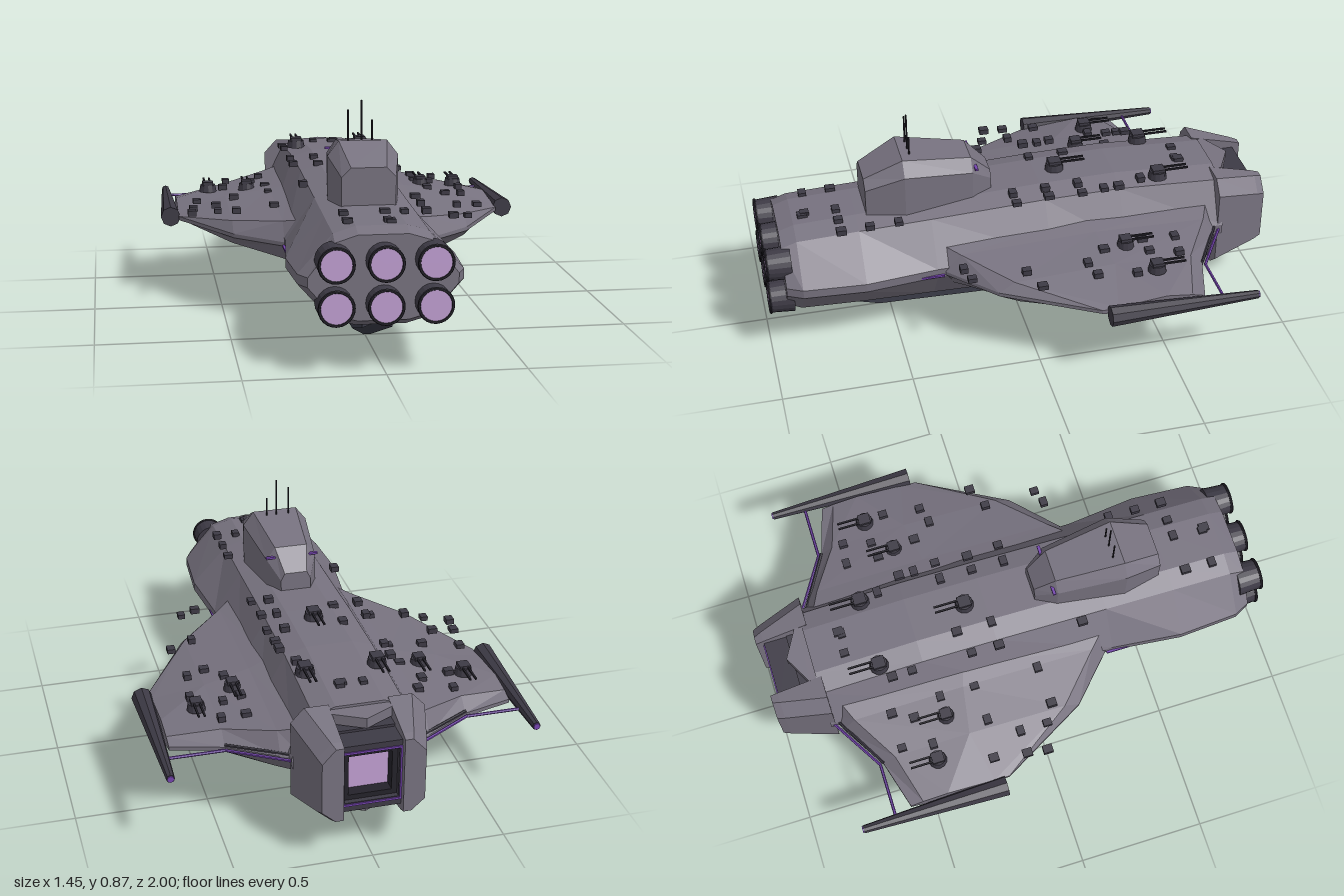
import * as THREE from 'three';

const mat = (name, color) => Object.assign(new THREE.MeshStandardMaterial({ color, flatShading: true }), { name });

// Skin through cross-sections of equal point count, closed with end caps.
function loft(sections) {
  const tris = [], n = sections[0].length;
  for (let i = 0; i < sections.length - 1; i++) {
    for (let j = 0; j < n; j++) {
      const k = (j + 1) % n, a = sections[i], b = sections[i + 1];
      tris.push([a[j], a[k], b[k]], [a[j], b[k], b[j]]);
    }
  }
  const cap = (s, flip) => {
    const c = [0, 1, 2].map(d => s.reduce((t, p) => t + p[d], 0) / n);
    for (let j = 0; j < n; j++) {
      const k = (j + 1) % n;
      tris.push(flip ? [c, s[k], s[j]] : [c, s[j], s[k]]);
    }
  };
  cap(sections[0], true);
  cap(sections.at(-1), false);
  // turn every face outward
  let volume = 0;
  for (const [a, b, c] of tris) {
    volume += a[0] * (b[1] * c[2] - b[2] * c[1]) + a[1] * (b[2] * c[0] - b[0] * c[2]) + a[2] * (b[0] * c[1] - b[1] * c[0]);
  }
  if (volume < 0) tris.forEach(t => t.reverse());
  const g = new THREE.BufferGeometry();
  g.setAttribute('position', new THREE.Float32BufferAttribute(tris.flat(2), 3));
  g.computeVertexNormals();
  return g;
}

// Symmetric ring at depth z from right-hand half points
const ring = (half, z) => [
  ...half.map(([x, y]) => [x, y, z]),
  ...half.slice().reverse().map(([x, y]) => [-x, y, z]),
];

export function createModel() {
  const root = new THREE.Group();
  root.name = 'spaceship';
  const hullGrey = mat('hull grey', 0x77727f);
  const dark = mat('dark metal', 0x3d3a45);
  const keelBlue = mat('keel blue grey', 0x3b3c49);
  const black = mat('black metal', 0x24222a);
  const purple = mat('purple trim', 0x7444ae);
  const glow = mat('pale violet glow', 0xc19fd3);

  const add = (name, geometry, material, x = 0, y = 0, z = 0, parent = root) => {
    const m = new THREE.Mesh(geometry, material);
    m.name = name;
    m.position.set(x, y, z);
    parent.add(m);
    return m;
  };
  const box = (name, w, h, d, material, x, y, z, parent) =>
    add(name, new THREE.BoxGeometry(w, h, d), material, x, y, z, parent);
  const rod = (name, a, b, r, material) => {
    const from = new THREE.Vector3(...a), to = new THREE.Vector3(...b);
    const m = add(name, new THREE.CylinderGeometry(r, r, from.distanceTo(to), 6), material);
    m.position.copy(from).lerp(to, 0.5);
    m.quaternion.setFromUnitVectors(new THREE.Vector3(0, 1, 0), to.sub(from).normalize());
  };

  // Main hull: z, half width, top, bottom
  const hullStations = [
    [0.93, 0.265, 0.485, 0.18], [0.87, 0.295, 0.505, 0.15], [0.63, 0.31, 0.515, 0.14],
    [0.35, 0.28, 0.525, 0.135], [-0.1, 0.28, 0.545, 0.125], [-0.4, 0.27, 0.55, 0.115], [-0.81, 0.25, 0.53, 0.125],
  ];
  add('hull', loft(hullStations.map(([z, w, t, b]) => ring([
    [0.09, t], [0.17, t - 0.025], [w, 0.34], [w, 0.305], [0.18, b + 0.025], [0.09, b],
  ], z))), hullGrey);
  const hullTop = z => {
    const i = Math.max(1, hullStations.findIndex(s => s[0] <= z));
    const [a, b] = [hullStations[i - 1], hullStations[i]];
    return THREE.MathUtils.mapLinear(z, a[0], b[0], a[2], b[2]);
  };

  // Keel
  add('keel', loft([[0.79, 0.115, 0.13], [0.55, 0.045, 0.02], [0, 0.03, 0.005], [-0.4, 0.115, 0.11]].map(
    ([z, side, low]) => ring([[0.055, 0.16], [0.055, side], [0.012, low]], z))), keelBlue);

  // Bow: two cheeks around an open mouth
  for (const s of [1, -1]) {
    const cheek = [[-0.79, 0.25, 0.53, 0.13], [-0.97, 0.2, 0.485, 0.165], [-1, 0.19, 0.475, 0.175]];
    add('bowCheek', loft(cheek.map(([z, w, t, b]) => [
      [0.11, t], [w - 0.05, t], [w, t - 0.055], [w, b + 0.045], [w - 0.05, b], [0.11, b],
    ].map(([x, y]) => [s * x, y, z]))), hullGrey);
  }
  for (const [y, yTip] of [[0.5, 0.5], [0.15, 0.15]]) {
    add('bowWedge', loft([y - 0.02, yTip + 0.02].map(h =>
      [[-0.112, h, -0.78], [0.112, h, -0.78], [0.112, h, -0.84], [0, h, -0.9], [-0.112, h, -0.84]])), hullGrey);
  }
  const frame = (name, outer, inner, z, depth, material) => {
    const square = (P, r) => new P([[-r, -r], [r, -r], [r, r], [-r, r]].map(p => new THREE.Vector2(...p)));
    const shape = square(THREE.Shape, outer);
    shape.holes.push(square(THREE.Path, inner));
    add(name, new THREE.ExtrudeGeometry(shape, { depth, bevelEnabled: false }), material, 0, 0.325, z);
  };
  box('mouthBack', 0.22, 0.29, 0.08, dark, 0, 0.325, -0.84);
  frame('mouthOuterFrame', 0.135, 0.1, -0.97, 0.11, dark);
  frame('mouthPurpleTrim', 0.112, 0.104, -0.975, 0.006, purple);
  frame('mouthInnerFrame', 0.1, 0.08, -0.95, 0.08, black);
  box('mouthGlow', 0.165, 0.165, 0.008, glow, 0, 0.325, -0.9);

  // Command tower: z, lower half width, upper half width, shoulder, top
  add('tower', loft([
    [0.59, 0.1, 0.065, 0.62, 0.655], [0.44, 0.132, 0.09, 0.675, 0.73],
    [0.17, 0.1, 0.065, 0.64, 0.69], [0.09, 0.06, 0.045, 0.58, 0.61],
  ].map(([z, w, tw, sh, t]) => ring([[tw, t], [w, sh], [w, 0.49]], z))), hullGrey);
  for (const s of [1, -1]) box('towerLight', 0.045, 0.008, 0.012, purple, s * 0.083, 0.655, 0.155);
  [[-0.05, 0.84], [0, 0.875], [0.04, 0.8]].forEach(([x, top]) =>
    rod('antenna', [x, 0.7, 0.405], [x, top, 0.405], 0.0035, black));

  // Six engines
  for (const x of [-0.173, 0, 0.173]) for (const y of [0.243, 0.395]) {
    const e = new THREE.Group();
    e.name = 'engine';
    e.position.set(x, y, 0);
    root.add(e);
    add('nozzle', new THREE.CylinderGeometry(0.06, 0.066, 0.09, 20), dark, 0, 0, 0.945, e).rotation.x = Math.PI / 2;
    add('nozzleRim', new THREE.TorusGeometry(0.06, 0.006, 6, 24), black, 0, 0, 0.992, e);
    add('nozzleGlow', new THREE.CircleGeometry(0.057, 24), glow, 0, 0, 0.994, e);
  }

  // Wings, wingtip pods and struts
  const wingStations = [
    [0.2, -0.8, 0.4, 0.435, 0.22], [0.28, -0.765, 0.32, 0.415, 0.235],
    [0.46, -0.655, 0.15, 0.385, 0.262], [0.655, -0.6, -0.2, 0.35, 0.29],
  ];
  for (const s of [1, -1]) {
    add('wing', loft(wingStations.map(([x, f, b, t, l]) => [
      [f, 0.325], [f + 0.05, t - 0.012], [(f + b) / 2 - 0.05, t], [b - 0.06, t - 0.02],
      [b, 0.325], [b, 0.31], [b - 0.08, l + 0.01], [f + 0.08, l], [f, 0.31],
    ].map(([z, y]) => [s * x, y, z]))), hullGrey);
    const pod = add('wingtipPod', new THREE.CylinderGeometry(0.04, 0.016, 0.58, 8), dark, s * 0.687, 0.32, -0.51);
    pod.rotation.x = Math.PI / 2;
    const tip = add('podTip', new THREE.CylinderGeometry(0.013, 0.013, 0.006, 8), purple, s * 0.687, 0.32, -0.802);
    tip.rotation.x = Math.PI / 2;
    rod('purpleStrut', [s * 0.24, 0.32, -0.8], [s * 0.46, 0.32, -0.668], 0.006, purple);
    rod('purpleStrut', [s * 0.46, 0.32, -0.668], [s * 0.68, 0.32, -0.668], 0.006, purple);
    rod('darkStrut', [s * 0.24, 0.335, -0.78], [s * 0.46, 0.335, -0.655], 0.006, dark);
    box('wingRootLight', 0.012, 0.008, 0.09, purple, s * 0.283, 0.312, 0.37);
  }

  // Gun turrets with twin barrels
  const wingTop = x => 0.445 - 0.115 * Math.abs(x);
  const turret = (x, y, z, r, length) => {
    const t = new THREE.Group();
    t.name = 'turret';
    t.position.set(x, y, z);
    root.add(t);
    add('turretBase', new THREE.CylinderGeometry(r * 0.85, r, 0.03, 12), dark, 0, 0.005, 0, t);
    box('turretHouse', r * 1.2, 0.016, r * 1.3, dark, 0, 0.024, 0, t);
    for (const s of [1, -1]) box('barrel', 0.007, 0.007, length, black, s * 0.011, 0.024, -length / 2 - 0.01, t);
  };
  for (const s of [1, -1]) {
    turret(s * 0.137, 0.545, -0.565, 0.038, 0.11);
    turret(s * 0.522, wingTop(0.522), -0.45, 0.036, 0.1);
    turret(s * 0.367, wingTop(0.367), -0.37, 0.034, 0.1);
  }
  turret(0, 0.555, -0.18, 0.038, 0.11);

  // Surface blocks as x, z pairs in hundredths
  const hullBlocks = [
    [-5, -68], [4, -68], [3, -67], [15, -57], [-20, -53], [15, -49], [-20, -45], [19, -39], [19, -33], [-20, -21],
    [-10, -24], [13, -24], [20, -24], [-20, -10], [-10, -10], [13, -11], [19, -11], [13, 2], [20, 2],
    [-20, 24], [19, 48], [19, 59], [-11, 70], [4, 70], [11, 70], [19, 70], [-11, 81], [3, 82], [4, 83],
  ];
  const wingBlocks = [
    [-44, -57], [-30, -57], [36, -57], [45, -56], [-34, -49], [-46, -45], [42, -45], [35, -44], [-29, -37], [53, -37],
    [-58, -24], [-43, -22], [-29, -23], [38, -28], [44, -20], [51, -22], [-60, -11], [-51, -11], [-51, 0],
    [-44, 4], [-29, 3], [44, 4], [53, 0], [38, 27], [44, 25], [-61, -3],
  ];
  for (const [list, height] of [[hullBlocks, (x, z) => hullTop(z) + 0.004], [wingBlocks, wingTop]]) {
    list.forEach(([px, pz], i) => {
      const x = px / 100, z = pz / 100;
      box('surfaceBlock', 0.028 + 0.004 * (i % 3), 0.018 + 0.004 * (i % 2), 0.03 + 0.004 * ((i + 1) % 3), dark, x, height(x, z), z);
    });
  }
  return root;
}
